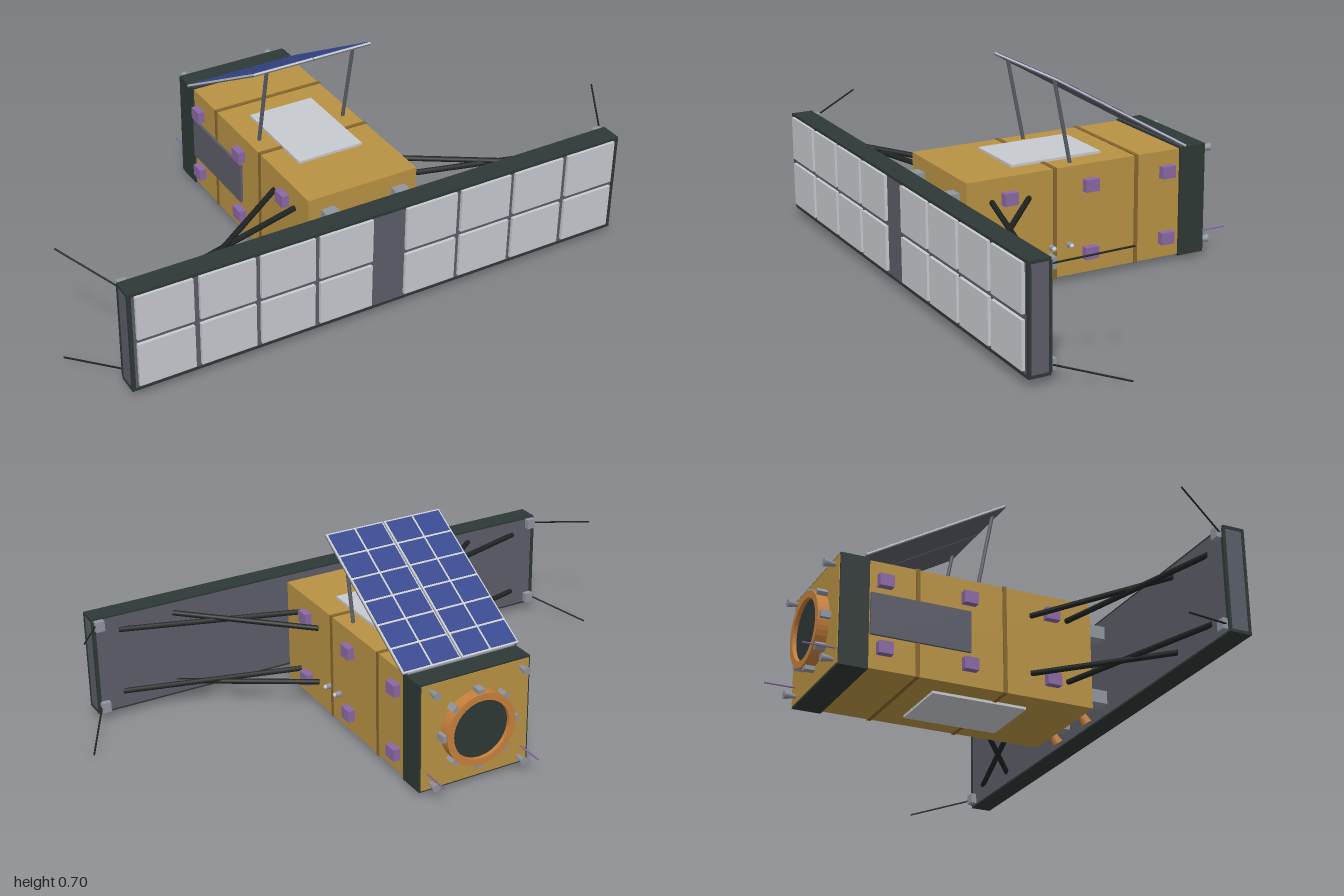
import * as THREE from 'three';

const mat = (name, color) => {
  const m = new THREE.MeshStandardMaterial({ color });
  m.name = name;
  return m;
};

export function createModel() {
  const root = new THREE.Group();
  root.name = 'radarSatellite';

  const gold = mat('goldFoil', 0xb89243);
  const darkGold = mat('darkGoldSeam', 0x86652c);
  const light = mat('lightGrey', 0xc6c9ce);
  const slate = mat('slateGrey', 0x5b5d68);
  const dark = mat('darkGreenGrey', 0x2e3836);
  const black = mat('blackStrut', 0x1f2423);
  const purple = mat('purple', 0x8a68a4);
  const copper = mat('copper', 0xc6803c);
  const metal = mat('metalGrey', 0x90949e);
  const blue = mat('solarBlue', 0x37488e);

  const MID = 0.2125; // height of the body axis
  const V = (x, y, z) => new THREE.Vector3(x, y, z);

  const add = (name, geo, m, x = 0, y = 0, z = 0, parent = root) => {
    const mesh = new THREE.Mesh(geo, m);
    mesh.name = name;
    mesh.position.set(x, y, z);
    parent.add(mesh);
    return mesh;
  };
  const box = (name, m, w, h, d, x, y, z, parent) =>
    add(name, new THREE.BoxGeometry(w, h, d), m, x, y, z, parent);

  // Round bar or cone from a to b
  const rod = (name, m, a, b, ra, rb = ra, sides = 10) => {
    const dir = b.clone().sub(a);
    const mesh = add(name, new THREE.CylinderGeometry(rb, ra, dir.length(), sides), m);
    mesh.position.copy(a).add(b).multiplyScalar(0.5);
    mesh.quaternion.setFromUnitVectors(V(0, 1, 0), dir.normalize());
    return mesh;
  };

  // Calls fn for each of the four quadrants around the body axis
  const quad = (fn) => {
    for (const sx of [-1, 1]) for (const sy of [-1, 1]) fn(sx, sy);
  };

  // Body, seams and rear collar
  box('body', gold, 0.4, 0.375, 0.903, 0, MID, -0.0315);
  for (const z of [0.1, -0.21]) box('bodySeam', darkGold, 0.406, 0.381, 0.014, 0, MID, z);
  box('rearCollar', dark, 0.412, 0.387, 0.1, 0, MID, -0.43);

  // Radiator plates on top, underneath and on the right side
  box('topRadiator', light, 0.236, 0.009, 0.336, 0, 0.4045, 0.048);
  box('bottomRadiator', light, 0.236, 0.009, 0.336, 0, 0.0205, 0.048);
  box('sideRadiator', slate, 0.009, 0.145, 0.35, -0.2045, MID, -0.2);

  // Instrument boxes along both sides
  quad((sx, sy) => {
    for (const z of [0.27, -0.03, -0.327])
      box('sideUnit', purple, 0.028, 0.042, 0.05, sx * 0.211, MID + sy * 0.117, z);
  });

  // Two small sensors on the left side
  for (const z of [0.113, 0.047]) {
    rod('starSensor', metal, V(0.195, 0.133, z), V(0.22, 0.133, z), 0.01, 0.01, 14);
    add('sensorDome', new THREE.SphereGeometry(0.008, 12, 8), light, 0.22, 0.133, z);
  }

  // Radar antenna panel with dark rails
  const radar = new THREE.Group();
  radar.name = 'radarPanel';
  root.add(radar);
  box('panelCore', slate, 1.786, 0.346, 0.074, 0, 0.2105, 0.539, radar);
  for (const s of [-1, 1]) {
    box('panelRail', dark, 1.79, 0.01, 0.075, 0, 0.2105 + s * 0.174, 0.5395, radar);
    for (const z of [0.504, 0.572])
      box('panelEndTrim', dark, 0.012, 0.34, 0.01, s * 0.889, 0.2105, z, radar);
    for (const x of [0.156, 0.363, 0.57, 0.779])
      for (const y of [0.303, 0.13])
        box('radarTile', light, 0.189, 0.155, 0.012, s * x, y, 0.581, radar);
  }

  // Mounts, struts, corner fittings and whip antennas of the panel
  quad((sx, sy) => {
    const p = (x, dy, z) => V(sx * x, MID + sy * dy, z);
    box('panelMount', metal, 0.05, 0.046, 0.09, sx * 0.13, MID + sy * 0.118, 0.46);
    rod('longStrut', black, p(0.2, 0.103, 0.196), p(0.6, 0.132, 0.504), 0.0095);
    rod('wideStrut', black, p(0.2, 0.11, 0.33), p(0.8, 0.118, 0.504), 0.0095);
    box('cornerFitting', metal, 0.032, 0.036, 0.022, sx * 0.872, MID + sy * 0.154, 0.492);
    rod('whipAntenna', black, p(0.885, 0.154, 0.495), p(0.999, 0.206, 0.292), 0.003, 0.003, 6);
  });

  // Front docking disc behind the panel
  const disc = add('frontDisc', new THREE.CylinderGeometry(0.068, 0.068, 0.028, 32), dark, 0, MID, 0.452);
  disc.rotation.x = Math.PI / 2;

  // Front thrusters aimed forward and down
  for (const s of [-1, 1])
    rod('frontThruster', copper, V(s * 0.102, 0.062, 0.418), V(s * 0.102, 0.012, 0.45), 0.009, 0.019, 16);

  // Tilted solar array: two wings of 2 x 6 cells hinged on the collar
  const array = new THREE.Group();
  array.name = 'solarArray';
  const len = 0.574;
  array.position.set(0, 0.554, -0.148);
  array.rotation.x = -Math.atan2(0.288, 0.495);
  root.add(array);
  for (const s of [-1, 1]) {
    box('arrayFrame', light, 0.214, 0.006, len, s * 0.1095, 0.002, 0, array);
    box('arrayBacking', slate, 0.214, 0.004, len, s * 0.1095, -0.003, 0, array);
    for (const x of [0.057, 0.162])
      for (let r = 0; r < 6; r++)
        box('solarCell', blue, 0.097, 0.003, 0.0865, s * x, 0.0055, (r - 2.5) * 0.095, array);
    rod('arrayStrut', slate, V(s * 0.16, 0.4, 0.022), V(s * 0.16, 0.684, 0.079), 0.0065);
  }
  rod('arrayHinge', metal, V(-0.2, 0.409, -0.395), V(0.2, 0.409, -0.395), 0.006);

  // Rear adapter ring with dark disc and clamps
  const ringShape = new THREE.Shape().absarc(0, 0, 0.128, 0, Math.PI * 2);
  ringShape.holes.push(new THREE.Path().absarc(0, 0, 0.104, 0, Math.PI * 2, true));
  add('adapterRing', new THREE.ExtrudeGeometry(ringShape,
    { depth: 0.042, bevelEnabled: false, curveSegments: 24 }), copper, 0, MID, -0.523);
  const cap = add('rearDisc', new THREE.CylinderGeometry(0.105, 0.105, 0.03, 36), dark, 0, MID, -0.494);
  cap.rotation.x = Math.PI / 2;
  for (let i = 0; i < 8; i++) {
    const a = i * Math.PI / 4;
    const clamp = box('ringClamp', metal, 0.02, 0.024, 0.036,
      Math.cos(a) * 0.132, MID + Math.sin(a) * 0.132, -0.5);
    clamp.rotation.z = a;
  }

  // Rear thrusters and rods
  quad((sx, sy) => {
    const x = sx * 0.167, y = MID + sy * 0.165;
    rod('rearThruster', metal, V(x, y, -0.48), V(x, y, -0.524), 0.006, 0.014, 16);
  });
  for (const s of [-1, 1])
    rod('rearRod', purple, V(s * 0.177, 0.083, -0.48), V(s * 0.177, 0.083, -0.588), 0.003, 0.003, 6);

  return root;
}
